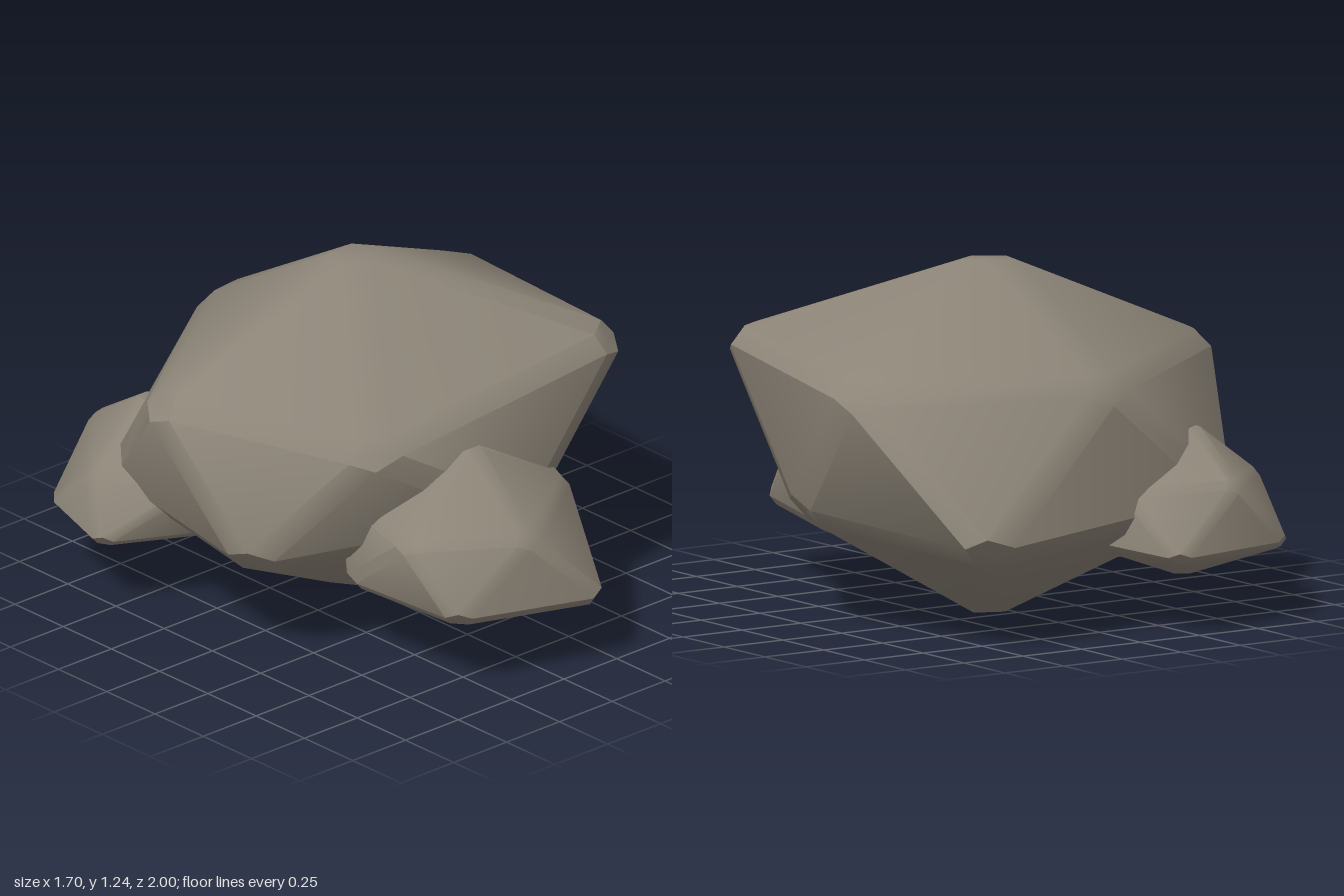
import * as THREE from 'three';
import { toCreasedNormals } from 'three/addons/utils/BufferGeometryUtils.js';

const V = (p) => new THREE.Vector3(...p);

// Faces of a 12-point stone: 0 top, 1-5 upper ring, 6-10 lower ring, 11 bottom
function stoneFaces() {
  const faces = [];
  for (let i = 0; i < 5; i++) {
    const j = (i + 1) % 5;
    const u = 1 + i, un = 1 + j, l = 6 + i, ln = 6 + j;
    faces.push([0, u, un], [u, l, un], [l, ln, un], [11, ln, l]);
  }
  return faces;
}

// Stone with chamfered edges; the points given are the middles of the worn corners
function stoneGeometry(top, upper, lower, bottom, bevel) {
  const targets = [top, ...upper, ...lower, bottom].map(V);
  const raw = targets.map((p) => p.clone());
  const faces = stoneFaces();
  let corners, caps;

  // Shrink each face towards its centre, then push the raw points out to suit
  for (let pass = 0; pass < 5; pass++) {
    const sums = raw.map(() => new THREE.Vector3());
    const counts = raw.map(() => 0);
    corners = faces.map((face) => {
      const centre = new THREE.Vector3();
      face.forEach((v) => centre.addScaledVector(raw[v], 1 / 3));
      const inset = {};
      face.forEach((v) => {
        inset[v] = raw[v].clone().lerp(centre, bevel);
        sums[v].add(inset[v]);
        counts[v]++;
      });
      return inset;
    });
    caps = sums.map((s, i) => s.divideScalar(counts[i]));
    if (pass < 4) raw.forEach((p, i) => p.add(targets[i]).sub(caps[i]));
  }

  const edgeFace = {};
  faces.forEach((face, f) => face.forEach((a, k) => {
    edgeFace[a + '_' + face[(k + 1) % 3]] = f;
  }));

  const pos = [];
  const tri = (...pts) => pts.forEach((p) => pos.push(p.x, p.y, p.z));
  faces.forEach((face, f) => {
    const F = corners[f];
    tri(F[face[0]], F[face[1]], F[face[2]]);
    face.forEach((a, k) => {
      const b = face[(k + 1) % 3];
      const G = corners[edgeFace[b + '_' + a]];
      // Edge chamfer, added once per edge
      if (a < b) {
        tri(F[b], F[a], G[a]);
        tri(F[b], G[a], G[b]);
      }
      // Worn corner
      tri(caps[a], G[a], F[a]);
    });
  });

  const geo = new THREE.BufferGeometry();
  geo.setAttribute('position', new THREE.Float32BufferAttribute(pos, 3));
  return toCreasedNormals(geo, 0.6);
}

export function createModel() {
  const group = new THREE.Group();
  const stone = new THREE.MeshStandardMaterial({ color: 0x8c8477 });
  stone.name = 'warm grey stone';

  const add = (name, ...shape) => {
    const mesh = new THREE.Mesh(stoneGeometry(...shape), stone);
    mesh.name = name;
    group.add(mesh);
  };

  // Rings run anticlockwise seen from above
  add('mainBoulder',
    [0.035, 1.25, -0.12],
    [[0.65, 0.95, 0.51], [0.81, 0.88, -0.43], [0.0, 0.88, -0.79], [-0.8, 0.9, -0.21], [-0.42, 0.83, 0.48]],
    [[0.77, 0.42, -0.05], [0.55, 0.36, -0.87], [-0.57, 0.42, -0.66], [-0.74, 0.42, 0.2], [0.16, 0.46, 0.59]],
    [0.035, 0.015, -0.12], 0.21);

  add('frontRock',
    [-0.04, 0.765, 0.55],
    [[0.33, 0.56, 0.63], [0.2, 0.55, 0.2], [-0.3, 0.55, 0.2], [-0.43, 0.54, 0.66], [-0.1, 0.55, 0.92]],
    [[0.41, 0.28, 0.32], [-0.05, 0.3, 0.16], [-0.41, 0.3, 0.36], [-0.36, 0.3, 0.85], [0.18, 0.27, 0.97]],
    [-0.03, 0.115, 0.57], 0.21);

  add('backRock',
    [-0.46, 0.68, -0.64],
    [[-0.12, 0.49, -0.76], [-0.45, 0.51, -0.93], [-0.75, 0.49, -0.62], [-0.6, 0.5, -0.28], [-0.2, 0.5, -0.35]],
    [[-0.19, 0.28, -0.97], [-0.69, 0.28, -0.87], [-0.81, 0.28, -0.5], [-0.42, 0.3, -0.25], [-0.08, 0.3, -0.5]],
    [-0.44, 0.165, -0.62], 0.21);

  return group;
}
